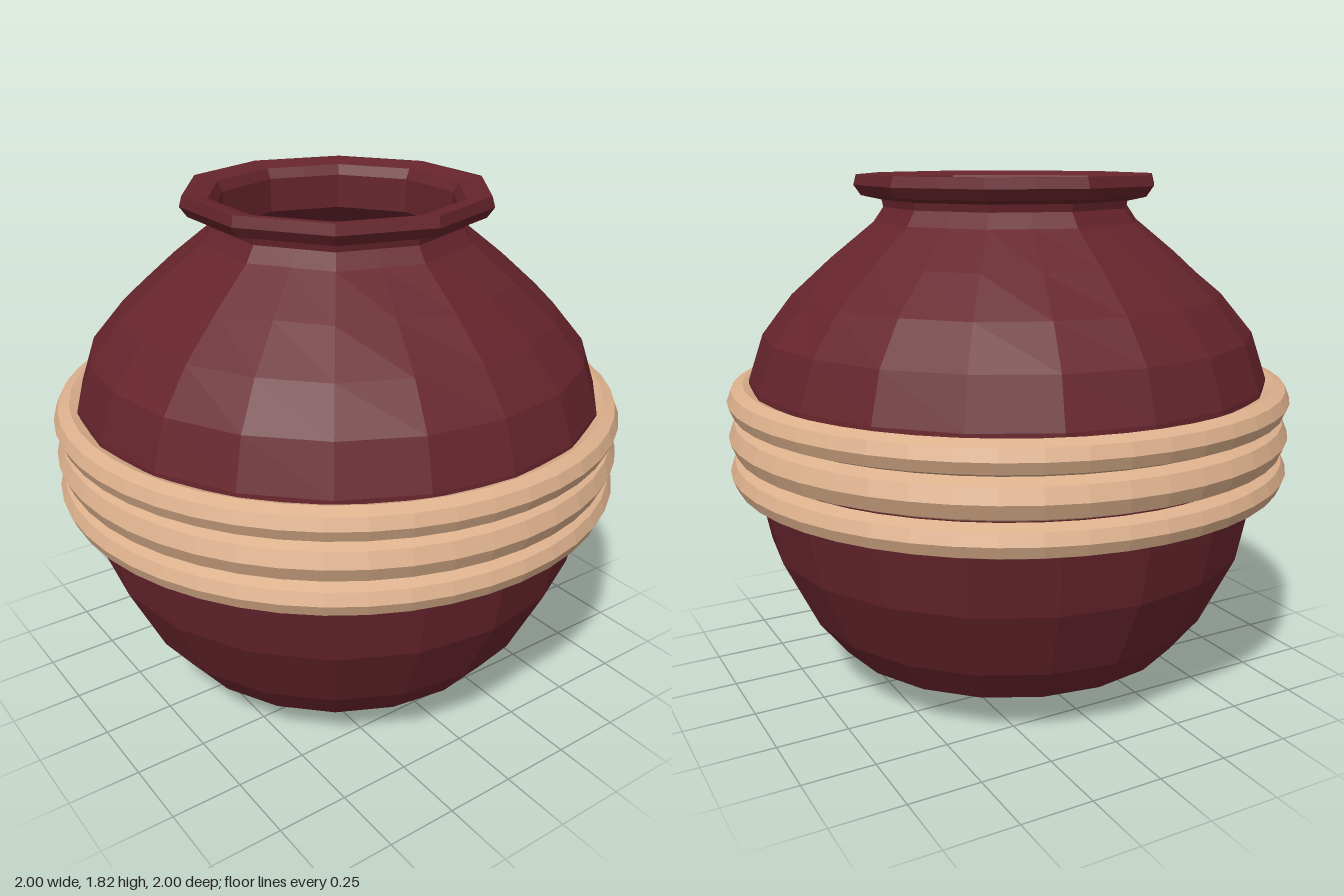
import * as THREE from 'three';

const clay = new THREE.MeshStandardMaterial({ color: 0x66242c, flatShading: true, side: THREE.DoubleSide });
const rope = new THREE.MeshStandardMaterial({ color: 0xdcb08c, flatShading: true });

// Faceted pot: 20 sides round the belly, flattening to a 10-sided neck and rim.
function createPot() {
  const profile = [
    // outside, from the base up
    [0, 0], [0.45, 0.05], [0.65, 0.15], [0.75, 0.28], [0.87, 0.53], [0.915, 0.76],
    [0.935, 0.95], [0.92, 1.12], [0.865, 1.28], [0.76, 1.415], [0.62, 1.54],
    [0.47, 1.66], [0.435, 1.71],
    // rim
    [0.44, 1.735], [0.51, 1.75], [0.535, 1.785], [0.525, 1.82], [0.5, 1.82], [0.44, 1.805],
    // inside, from the neck down
    [0.42, 1.77], [0.42, 1.65], [0.56, 1.52], [0.81, 1.27], [0.88, 0.95],
    [0.81, 0.53], [0.6, 0.19], [0.42, 0.1], [0, 0.06],
  ].map(([r, y]) => new THREE.Vector2(r, y));

  const sides = 20;
  const geometry = new THREE.LatheGeometry(profile, sides, Math.PI / 2);
  const pos = geometry.attributes.position;
  for (let i = 0; i < pos.count; i++) {
    const column = Math.floor(i / profile.length);
    if (column % 2 === 0) continue;
    // pull every second column onto the edge of a decagon near the neck
    const blend = THREE.MathUtils.smoothstep(pos.getY(i), 1.3, 1.68);
    const k = THREE.MathUtils.lerp(1, Math.cos(Math.PI / 10), blend);
    pos.setX(i, pos.getX(i) * k);
    pos.setZ(i, pos.getZ(i) * k);
  }
  geometry.computeVertexNormals();
  const pot = new THREE.Mesh(geometry, clay);
  pot.name = 'pot';
  pot.position.x = 0.006;
  return pot;
}

// One rounded ring hugging the belly.
function createBand(y, tube) {
  const geometry = new THREE.TorusGeometry(1 - tube, tube, 8, 48);
  geometry.rotateX(Math.PI / 2);
  const band = new THREE.Mesh(geometry, rope);
  band.position.y = y;
  return band;
}

export function createModel() {
  const model = new THREE.Group();
  model.name = 'bandedPot';
  model.add(createPot());

  const bands = { lowerBand: [0.81, 0.056], middleBand: [0.935, 0.07], upperBand: [1.06, 0.056] };
  for (const [name, [y, tube]] of Object.entries(bands)) {
    const band = createBand(y, tube);
    band.name = name;
    model.add(band);
  }
  return model;
}
